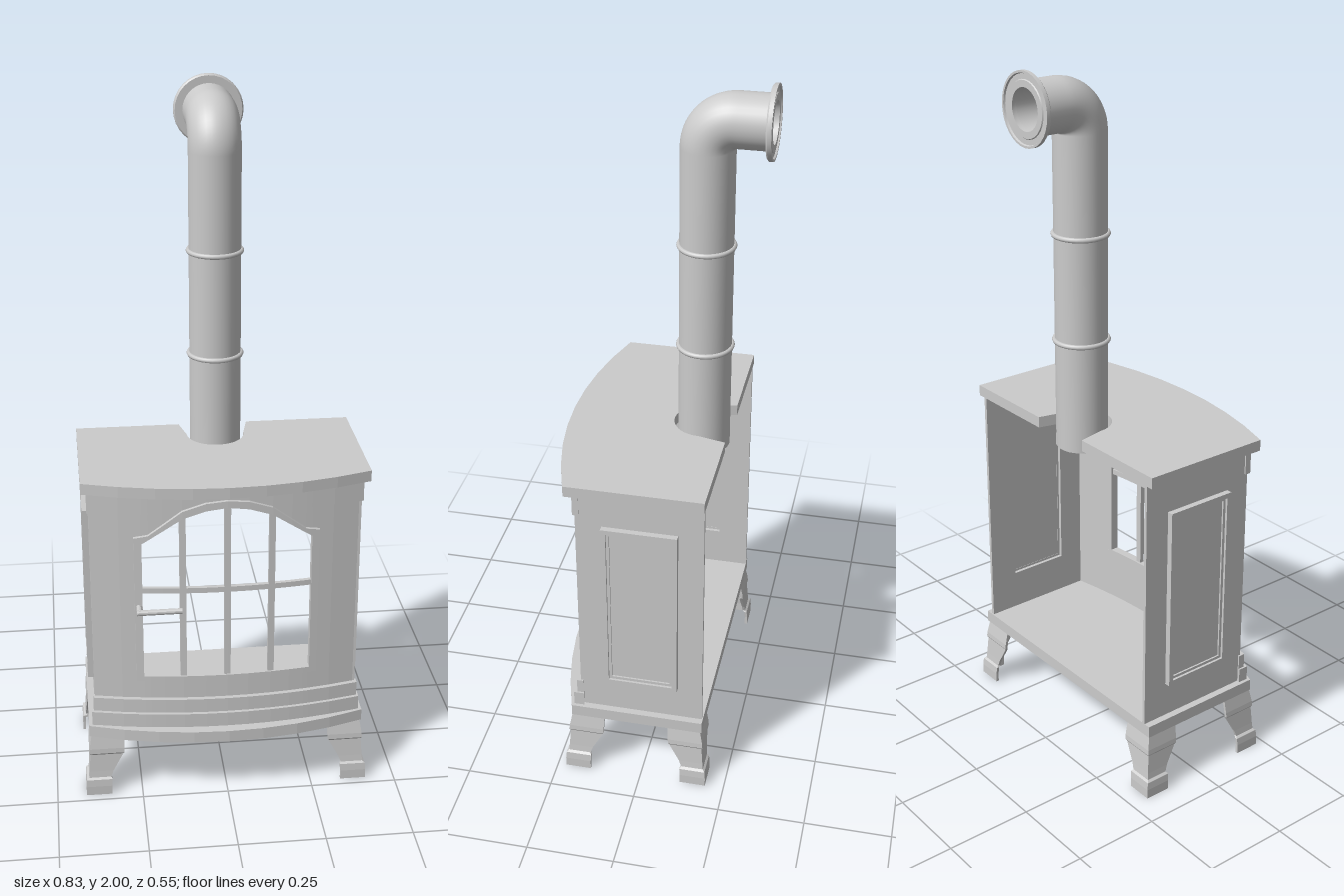
import * as THREE from 'three';
import { toCreasedNormals } from 'three/addons/utils/BufferGeometryUtils.js';

const grey = new THREE.MeshStandardMaterial({ color: 0xcccccc, side: THREE.DoubleSide });

// Solid through equal-sized cross-section rings, closed with fans from point 0
function loft(rings, flip = false) {
  const pos = [];
  const tri = (a, b, c) => pos.push(...a, ...(flip ? [...c, ...b] : [...b, ...c]));
  const n = rings[0].length, last = rings[rings.length - 1];
  for (let i = 0; i + 1 < rings.length; i++) {
    const r = rings[i], s = rings[i + 1];
    for (let k = 0; k < n; k++) {
      const q = (k + 1) % n;
      tri(r[k], s[k], s[q]);
      tri(r[k], s[q], r[q]);
    }
  }
  for (let k = 1; k + 1 < n; k++) {
    tri(rings[0][0], rings[0][k], rings[0][k + 1]);
    tri(last[0], last[k + 1], last[k]);
  }
  const g = new THREE.BufferGeometry();
  g.setAttribute('position', new THREE.Float32BufferAttribute(pos, 3));
  g.computeVertexNormals();
  return g;
}

// Piecewise linear height, mirrored about x = 0
const profile = (pts) => (x) => {
  const a = Math.abs(x);
  for (let i = 0; i + 1 < pts.length; i++) {
    const [x0, y0] = pts[i], [x1, y1] = pts[i + 1];
    if (a <= x1) return y0 + (y1 - y0) * (a - x0) / (x1 - x0);
  }
  return pts[pts.length - 1][1];
};

const knots = [-0.3, -0.235, -0.22, -0.18, -0.125, -0.06, 0, 0.06, 0.125, 0.18, 0.22, 0.235, 0.3];
const bow = (x) => -0.3 * x * x;

// Strip that follows the bowed front; zFront is its face at x = 0
function bowedStrip(x0, x1, lo, hi, zFront, depth) {
  const f = (v, x) => (typeof v === 'function' ? v(x) : v);
  const xs = [x0, ...knots.filter((k) => k > x0 + 0.001 && k < x1 - 0.001), x1];
  return loft(xs.map((x) => {
    const z = zFront + bow(x), a = f(lo, x), b = f(hi, x);
    return [[x, a, z], [x, b, z], [x, b, z - depth], [x, a, z - depth]];
  }));
}

// Horizontal slab with a bowed front edge, optionally notched for the flue
function slab(y, h, notch) {
  const s = new THREE.Shape();
  s.moveTo(-0.4, 0.18);
  for (let i = 0; i <= 8; i++) {
    const x = -0.4 + i * 0.1;
    s.lineTo(x, -(0.275 - 0.07 * (x / 0.4) ** 2));
  }
  s.lineTo(0.4, 0.18);
  if (notch) {
    s.lineTo(0.1, 0.18);
    s.lineTo(0.082, 0.1);
    s.absarc(0, 0.1, 0.082, 0, -Math.PI, true);
    s.lineTo(-0.1, 0.18);
  }
  return new THREE.ExtrudeGeometry(s, { depth: h, bevelEnabled: false, curveSegments: 20 })
    .rotateX(-Math.PI / 2).translate(0, y, 0);
}

// Rectangular sheet in the side plane with a rectangular hole; x from 0 to t
function sideFrame(z0, z1, y0, y1, hole, t) {
  const rect = (S, a, b, c, d) => new S([[a, c], [b, c], [b, d], [a, d]].map((p) => new THREE.Vector2(...p)));
  const s = rect(THREE.Shape, -z1, -z0, y0, y1);
  s.holes.push(rect(THREE.Path, -hole[1], -hole[0], hole[2], hole[3]));
  return new THREE.ExtrudeGeometry(s, { depth: t, bevelEnabled: false }).rotateY(Math.PI / 2);
}

export function createModel() {
  const model = new THREE.Group();
  const group = (name) => {
    const g = new THREE.Group();
    g.name = name;
    model.add(g);
    return g;
  };
  const add = (parent, name, geo) => {
    const m = new THREE.Mesh(geo, grey);
    m.name = name;
    parent.add(m);
    return m;
  };

  add(model, 'topPlate', slab(0.968, 0.032, true));
  add(model, 'basePlate', slab(0.192, 0.035, false));

  // Bowed front wall around the door opening
  const inner = profile([[0, 0.92], [0.06, 0.912], [0.125, 0.89], [0.235, 0.815]]);
  const outer = profile([[0, 0.94], [0.06, 0.934], [0.125, 0.912], [0.22, 0.838], [0.26, 0.83]]);
  const wall = group('frontWall');
  add(wall, 'lowerWall', bowedStrip(-0.38, 0.38, 0.22, 0.385, 0.222, 0.015));
  add(wall, 'upperWall', bowedStrip(-0.24, 0.24, inner, 0.968, 0.222, 0.015));
  for (const s of [-1, 1]) {
    add(wall, 'sideStile', bowedStrip(Math.min(s * 0.24, s * 0.38), Math.max(s * 0.24, s * 0.38), 0.385, 0.968, 0.222, 0.015));
  }
  const arch = profile([[0, 0.954], [0.06, 0.95], [0.125, 0.934], [0.22, 0.902], [0.39, 0.9]]);
  add(wall, 'archedCornice', bowedStrip(-0.385, 0.385, arch, 0.968, 0.23, 0.018));
  add(wall, 'lowerMoulding', bowedStrip(-0.39, 0.39, 0.225, 0.27, 0.245, 0.03));
  add(wall, 'upperMoulding', bowedStrip(-0.385, 0.385, 0.27, 0.313, 0.235, 0.02));

  // Door frame, glazing bars and handle
  const door = group('door');
  add(door, 'doorTop', bowedStrip(-0.26, 0.26, inner, outer, 0.232, 0.025));
  add(door, 'doorBottom', bowedStrip(-0.26, 0.26, 0.372, 0.39, 0.232, 0.025));
  add(door, 'doorLeftStile', bowedStrip(0.238, 0.26, 0.39, 0.82, 0.232, 0.025));
  add(door, 'doorRightStile', bowedStrip(-0.26, -0.238, 0.39, 0.82, 0.232, 0.025));
  for (const x of [-0.125, 0, 0.125]) {
    add(door, 'verticalBar', bowedStrip(x - 0.009, x + 0.009, 0.385, (v) => inner(v) + 0.005, 0.227, 0.014));
  }
  add(door, 'horizontalBar', bowedStrip(-0.24, 0.24, 0.656, 0.672, 0.225, 0.012));
  add(door, 'handleBar', toCreasedNormals(new THREE.CylinderGeometry(0.008, 0.008, 0.127, 12).rotateZ(Math.PI / 2), 0.7))
    .position.set(-0.193, 0.615, 0.246);
  add(door, 'handlePost', toCreasedNormals(new THREE.CylinderGeometry(0.008, 0.008, 0.045, 12).rotateX(Math.PI / 2), 0.7))
    .position.set(-0.248, 0.615, 0.226);

  // Side walls with a framed panel
  for (const s of [-1, 1]) {
    const side = group(s > 0 ? 'leftSide' : 'rightSide');
    const parts = [
      ['sideWall', sideFrame(-0.177, 0.18, 0.22, 0.968, [-0.09, 0.09, 0.345, 0.855], 0.01), 0.37],
      ['panelFrame', sideFrame(-0.106, 0.106, 0.33, 0.87, [-0.092, 0.092, 0.344, 0.856], 0.017), 0.38],
      ['panelInnerFrame', sideFrame(-0.092, 0.092, 0.344, 0.856, [-0.084, 0.084, 0.352, 0.848], 0.01), 0.38],
      ['panel', new THREE.BoxGeometry(0.004, 0.514, 0.186).translate(0.002, 0.6, 0), 0.381],
    ];
    for (const [name, geo, x] of parts) {
      add(side, name, geo.rotateZ(0)).position.x = s > 0 ? x : -x;
      if (s < 0) geo.rotateY(Math.PI);
    }
  }

  // Corner legs of L section: [height, corner x, corner half depth, arm length]
  const levels = [
    [0, 0.415, 0.21, 0.075], [0.028, 0.415, 0.21, 0.075], [0.05, 0.413, 0.208, 0.075],
    [0.055, 0.406, 0.202, 0.065], [0.075, 0.404, 0.2, 0.07], [0.13, 0.4, 0.196, 0.096],
    [0.135, 0.403, 0.199, 0.102], [0.15, 0.402, 0.198, 0.102], [0.192, 0.395, 0.19, 0.096],
  ];
  const t = 0.008;
  for (const sx of [-1, 1]) for (const sz of [-1, 1]) {
    const rings = levels.map(([y, x, z, a]) => [
      [x - t, z - t], [x - t, z - a], [x, z - a], [x, z], [x - a, z], [x - a, z - t],
    ].map(([px, pz]) => [sx * px, y, 0.015 + sz * pz]));
    add(model, (sz > 0 ? 'front' : 'back') + (sx > 0 ? 'Left' : 'Right') + 'Leg', loft(rings, sx * sz < 0));
  }

  // Flue pipe: riser, tight elbow and outlet
  const flue = group('flue');
  const zc = -0.1025, yh = 1.903, R = 0.077, k = R * 0.4477;
  const V = (y, z) => new THREE.Vector3(0, y, z);
  const path = new THREE.CurvePath();
  path.add(new THREE.LineCurve3(V(0.935, zc), V(yh - R, zc)));
  path.add(new THREE.CubicBezierCurve3(V(yh - R, zc), V(yh - k, zc), V(yh, zc - k), V(yh, zc - R)));
  path.add(new THREE.LineCurve3(V(yh, zc - R), V(yh, -0.27)));
  add(flue, 'pipe', new THREE.TubeGeometry(path, 130, 0.073, 32));
  add(flue, 'pipeLining', new THREE.TubeGeometry(path, 130, 0.057, 32));
  add(flue, 'pipeLowerEnd', new THREE.RingGeometry(0.057, 0.073, 32).rotateX(Math.PI / 2)).position.set(0, 0.935, zc);
  for (const y of [1.25, 1.55]) {
    add(flue, 'jointRing', new THREE.TorusGeometry(0.074, 0.007, 8, 32).rotateX(Math.PI / 2)).position.set(0, y, zc);
  }
  const flange = [
    [0.056, 0], [0.094, 0], [0.098, 0.004], [0.098, 0.015], [0.092, 0.015],
    [0.09, 0.01], [0.076, 0.01], [0.074, 0.013], [0.056, 0.013], [0.056, 0],
  ].map((p) => new THREE.Vector2(...p));
  add(flue, 'outletFlange', toCreasedNormals(new THREE.LatheGeometry(flange, 32).rotateX(-Math.PI / 2), 0.5))
    .position.set(0, yh, -0.262);

  return model;
}
